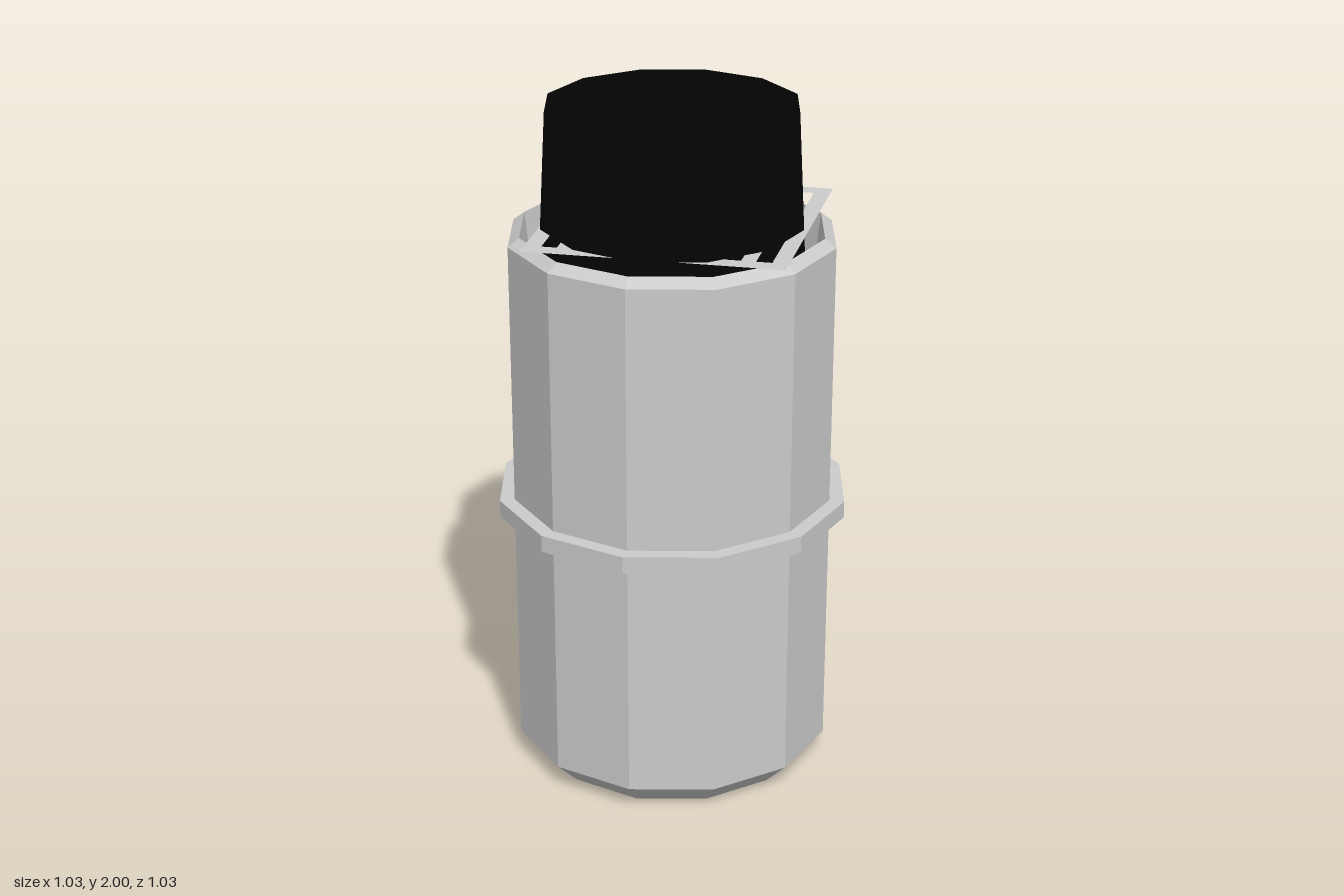
import * as THREE from 'three';

const SIDES = 12;
const grey = new THREE.MeshStandardMaterial({ color: 0xcccccc, flatShading: true });
const greyThin = new THREE.MeshStandardMaterial({ color: 0xcccccc, flatShading: true, side: THREE.DoubleSide });
const black = new THREE.MeshStandardMaterial({ color: 0x040404, flatShading: true, side: THREE.DoubleSide });

// Faceted turned part from [radius, height] pairs
function turned(name, profile, material) {
  const points = profile.map(([r, y]) => new THREE.Vector2(r, y));
  const mesh = new THREE.Mesh(new THREE.LatheGeometry(points, SIDES), material);
  mesh.name = name;
  return mesh;
}

// Thin, slightly skewed square plate with eight long slots
function makeGrate() {
  const [a, b, c, d] = [[-0.37, -0.35], [0.38, -0.385], [0.405, 0.335], [-0.325, 0.38]];
  const at = (u, v) => {
    const mix = (i) => (1 - v) * ((1 - u) * a[i] + u * b[i]) + v * ((1 - u) * d[i] + u * c[i]);
    return new THREE.Vector2(mix(0), mix(1));
  };
  const quad = (u0, u1, v0, v1) => [at(u0, v0), at(u1, v0), at(u1, v1), at(u0, v1)];
  const plate = new THREE.Shape(quad(0, 1, 0, 1));
  for (let i = 0; i < 8; i++) {
    const u = 0.065 + i * 0.116;
    plate.holes.push(new THREE.Path(quad(u, u + 0.06, 0.07, 0.93)));
  }
  const geometry = new THREE.ShapeGeometry(plate).rotateX(Math.PI / 2);
  const mesh = new THREE.Mesh(geometry, greyThin);
  mesh.name = 'grate';
  mesh.position.y = 1.665;
  return mesh;
}

export function createModel() {
  const group = new THREE.Group();
  group.name = 'canister';

  // Chamfered body with a recessed well in the top
  group.add(turned('body', [
    [0, 0], [0.4, 0], [0.473, 0.075], [0.473, 1.62], [0.44, 1.645], [0.4, 1.3], [0, 1.3],
  ], grey));

  // Band around the middle
  group.add(turned('band', [
    [0.46, 0.798], [0.517, 0.798], [0.517, 0.848], [0.46, 0.848],
  ], grey));

  // Open, tapered black sleeve rising out of the well
  group.add(turned('sleeve', [[0.4, 1.3], [0.362, 2]], black));

  group.add(makeGrate());
  return group;
}
